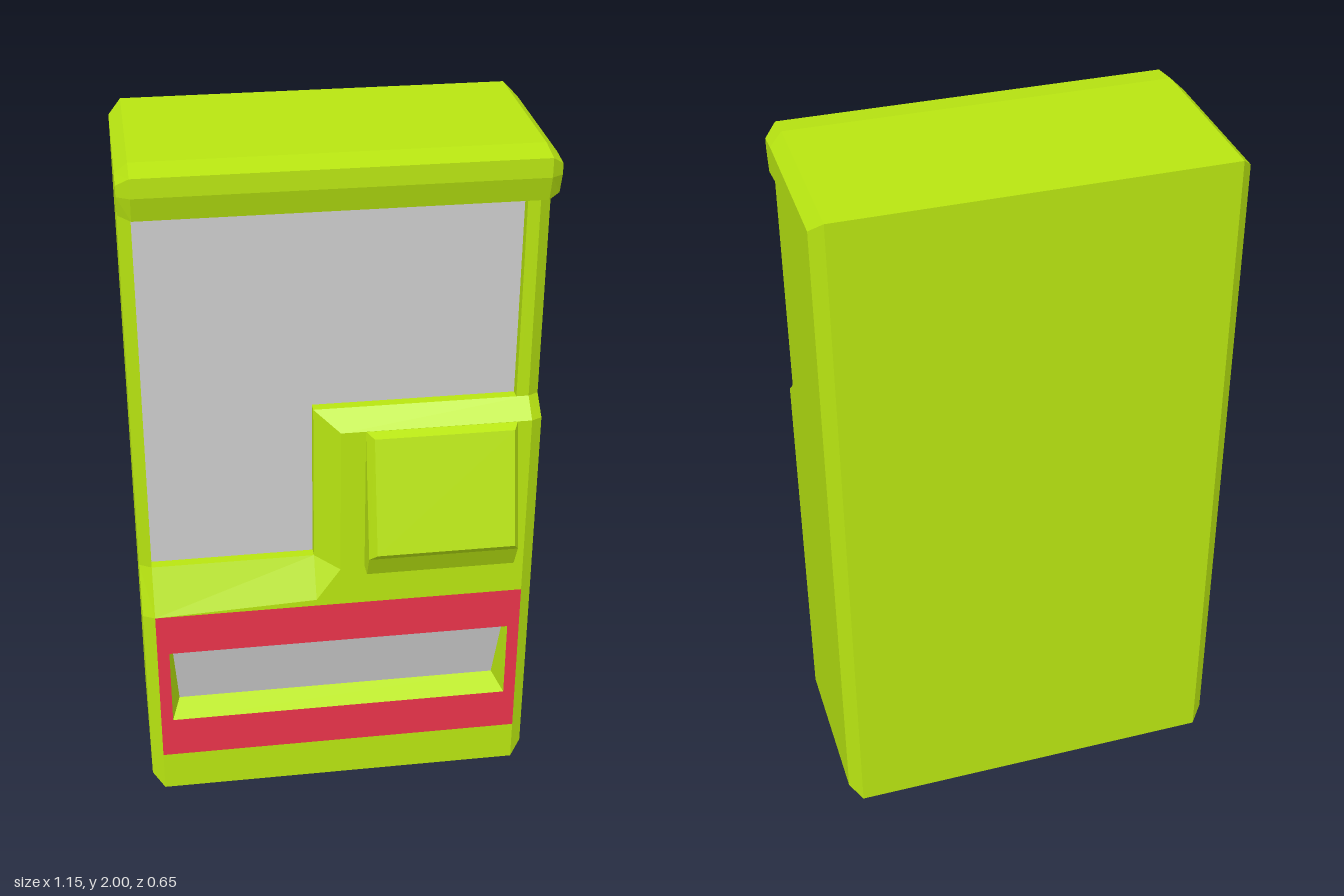
import * as THREE from 'three';

const mat = (color) => new THREE.MeshStandardMaterial({ color, flatShading: true, side: THREE.DoubleSide });

// Convex polygons, corners counter-clockwise seen from outside
function polys(list) {
  const pos = [];
  for (const p of list) {
    for (let i = 1; i < p.length - 1; i++) pos.push(...p[0], ...p[i], ...p[i + 1]);
  }
  const g = new THREE.BufferGeometry();
  g.setAttribute('position', new THREE.Float32BufferAttribute(pos, 3));
  g.computeVertexNormals();
  return g;
}

// Flat outline, with an optional hole
const vecs = (pts) => pts.map(([x, y]) => new THREE.Vector2(x, y));
function flat(pts, hole) {
  const s = new THREE.Shape(vecs(pts));
  if (hole) s.holes.push(new THREE.Path(vecs(hole)));
  return new THREE.ShapeGeometry(s);
}

// Inward-facing walls between a front loop and a back loop
const walls = (front, back) => front.map((a, i) => {
  const j = (i + 1) % front.length;
  return [a, front[j], back[j], back[i]];
});

export function createModel() {
  const group = new THREE.Group();
  const green = mat(0xb8e511), red = mat(0xe8334a), grey = mat(0xcccccc);
  const add = (name, geo, material) => {
    const m = new THREE.Mesh(geo, material);
    m.name = name;
    group.add(m);
    return m;
  };

  // Side profiles [z, y]; only the step on the front differs left to right
  const outer = (y0, y1) => [[-0.325, 0], [0.22, 0], [0.22, y0], [0.165, y1], [0.165, 1.88],
    [0.245, 1.867], [0.265, 1.935], [0.265, 1.988], [0.18, 2], [-0.325, 2]];
  const inset = (y0, y1) => [[-0.29, 0.035], [0.188, 0.035], [0.188, y0], [0.13, y1], [0.13, 1.885],
    [0.212, 1.873], [0.232, 1.93], [0.232, 1.96], [0.165, 1.967], [-0.29, 1.967]];
  const W = 0.575, F = 0.54;
  const steps = { [-1]: [0.63, 0.77], 1: [1.2, 1.25] };
  const at = (x) => ([z, y]) => [x, y, z];

  // Sides with chamfered borders
  const shell = [];
  for (const s of [-1, 1]) {
    const [y0, y1] = steps[s];
    const inn = inset(y0 - 0.01, y1 - 0.01);
    const o = outer(y0, y1).map(at(s * F)), n = inn.map(at(s * W));
    o.forEach((a, i) => {
      const j = (i + 1) % o.length;
      const q = [a, o[j], n[j], n[i]];
      shell.push(s < 0 ? q : q.reverse());
    });
    const cap = flat(inn.map(([z, y]) => [-s * z, y]));
    cap.rotateY(s * Math.PI / 2).translate(s * W, 0, 0);
    add(s < 0 ? 'rightSide' : 'leftSide', cap, green);
  }

  // Bottom, visor, top and back
  const L = outer(...steps[-1]).map(at(-F)), R = outer(...steps[1]).map(at(F));
  for (const i of [0, 4, 5, 6, 7, 8, 9]) {
    const j = (i + 1) % L.length;
    shell.push([L[i], R[i], R[j], L[j]]);
  }
  add('cabinetShell', polys(shell), green);

  // Sloped ledges around the raised control panel, and the window post
  const zf = 0.22, zu = 0.165;
  add('frontLedges', polys([
    [[-F, 0.63, zf], [-0.07, 0.65, zf], [-0.07, 0.77, zu], [-F, 0.77, zu]],
    [[-0.07, 0.65, zf], [0, 0.75, zf], [-0.07, 0.77, zu]],
    [[-0.07, 0.77, zu], [0, 0.75, zf], [0, 1.2, zf], [-0.07, 1.25, zu]],
    [[0, 1.2, zf], [F, 1.2, zf], [F, 1.25, zu], [-0.07, 1.25, zu]],
    [[0.505, 1.25, zu], [F, 1.25, zu], [F, 1.88, zu], [0.505, 1.88, zu]],
  ]), green);

  // Flat front areas
  const rect = (x, y0, y1) => [[-x, y0], [x, y0], [x, y1], [-x, y1]];
  add('kickPlate', flat(rect(F, 0, 0.125)), green).position.z = zf;
  add('controlPanel', flat([[-F, 0.63], [F, 0.63], [F, 1.2], [0, 1.2], [0, 0.75], [-0.07, 0.65]]), green)
    .position.z = zf;
  const slot = rect(0.505, 0.255, 0.5);
  add('redBand', flat(rect(F, 0.125, 0.63), slot), red).position.z = zf;

  // Recessed display window
  const win = [[-F, 0.77], [-0.07, 0.77], [-0.07, 1.25], [0.505, 1.25], [0.505, 1.88], [-F, 1.88]];
  const zw = 0.135;
  add('windowRim', polys(walls(win.map((p) => [...p, zu]), win.map((p) => [...p, zw]))), green);
  add('window', flat(win), grey).position.z = zw;

  // Collection slot with a tilted flap
  const flap = [[-0.48, 0.285, 0.15], [0.48, 0.285, 0.15], [0.495, 0.5, 0.195], [-0.495, 0.5, 0.195]];
  add('slotRim', polys(walls(slot.map((p) => [...p, zf]), flap)), green);
  add('slotFlap', polys([flap]), grey);

  // Tilted payment box with a bevelled face
  const pair = (x0, x1, y, z) => [[x0, y, z], [x1, y, z]];
  const [a0, a1] = pair(0.07, 0.5, 0.757, 0.218);
  const [b0, b1] = pair(0.07, 0.5, 0.757, 0.265);
  const [c0, c1] = pair(0.07, 0.5, 0.83, 0.302);
  const [d0, d1] = pair(0.07, 0.5, 1.2, 0.218);
  const [e0, e1] = pair(0.09, 0.485, 0.855, 0.325);
  const [f0, f1] = pair(0.09, 0.485, 1.19, 0.25);
  add('paymentBox', polys([
    [a0, a1, b1, b0], [b0, b1, c1, c0], [c0, c1, e1, e0], [e0, e1, f1, f0], [f0, f1, d1, d0],
    [c0, e0, f0, d0], [c1, d1, f1, e1], [a0, b0, c0, d0], [a1, d1, c1, b1],
  ]), green);

  return group;
}
